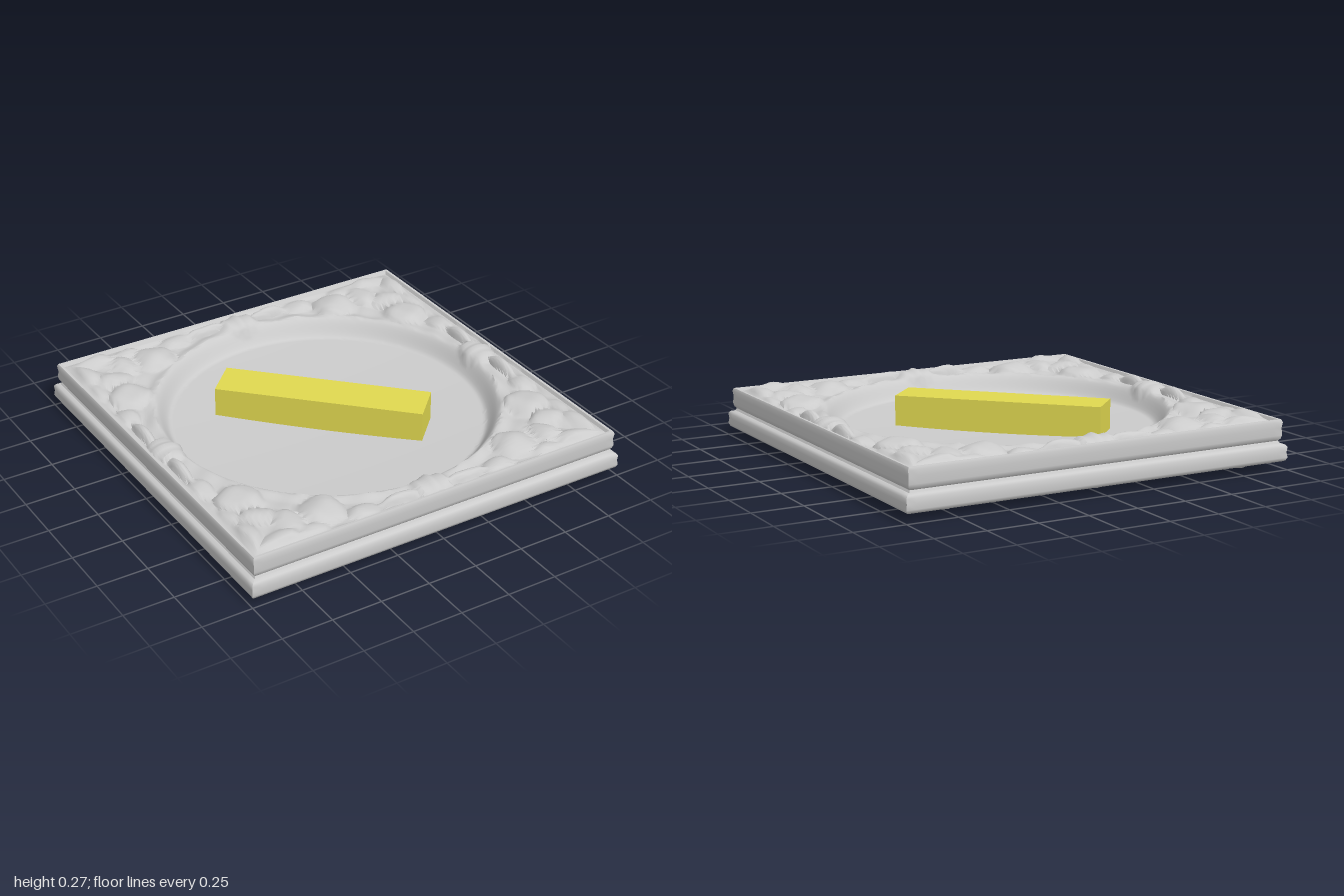
import * as THREE from 'three';
import { toCreasedNormals } from 'three/addons/utils/BufferGeometryUtils.js';

const SEGMENTS = 256;
const INNER = 0.955; // half-size of the carved field inside the lip
const GROUND = 0.215, LIP = 0.24;

// Carved bosses on one eighth of the frame: p = towards the edge, q = along it
const BOSSES = [
  { p: 0.8, q: 0.53, rp: 0.11, rq: 0.11, h: 0.045 },  // large bead
  { p: 0.9, q: 0.36, rp: 0.06, rq: 0.08, h: 0.025 },  // small bead
  { p: 0.8, q: 0.7, rp: 0.1, rq: 0.07, h: 0.045 },    // leaf bud
  { p: 0.9, q: 0.79, rp: 0.06, rq: 0.09, h: 0.05 },   // corner flower
  { p: 0.91, q: 0.64, rp: 0.05, rq: 0.08, h: 0.03 },
  { p: 0.905, q: 0.18, rp: 0.03, rq: 0.11, h: 0.045 }, // ribbon tail
];

const smooth = THREE.MathUtils.smoothstep;

function dome(p, q, b) {
  const d = ((p - b.p) / b.rp) ** 2 + ((q - b.q) / b.rq) ** 2;
  return d < 1 ? b.h * Math.sqrt(1 - d) : 0;
}

// Height of one carved face: dish, rim, foliage and mid-edge clasps
function faceHeight(x, z, floor, rim) {
  const p = Math.max(Math.abs(x), Math.abs(z)), q = Math.min(Math.abs(x), Math.abs(z));
  const r = Math.hypot(x, z);
  let y;
  if (r < rim) {
    const bowl = floor + 0.025 * (r / rim) ** 2;
    y = bowl + (GROUND + 0.01 - bowl) * smooth(r, rim - 0.08, rim);
  } else {
    let carve = 0;
    for (const b of BOSSES) carve = Math.max(carve, dome(p, q, b));
    // veined leaf fanning out from the corner
    const cx = INNER - p, cz = INNER - q, cr = Math.hypot(cx, cz);
    const vein = 0.5 + 0.5 * Math.cos(Math.atan2(cz, cx) * 12);
    const leaf = (0.018 + 0.02 * vein) * (1 - smooth(cr, 0.12, 0.4));
    const ripple = 0.006 * Math.sin(x * 31 + z * 9) * Math.sin(z * 27 - x * 7);
    const rimRoll = 0.012 * (1 - smooth(r, rim, rim + 0.06));
    y = GROUND + Math.max(carve, leaf) + ripple + rimRoll;
    y += (LIP - 0.015 - y) * smooth(p, INNER - 0.03, INNER);
  }
  // clasp spanning the rim in the middle of each side
  const clasp = { p: 0.885, q: 0, rp: 0.08, rq: 0.115, h: 0.05 };
  const c = dome(p, q, clasp);
  if (c > 0) y = Math.max(y, GROUND - 0.005 + c + 0.006 * Math.cos(q * 90));
  return Math.min(y, 0.272);
}

// One ring of points blending from a circle (t = 0) to a square (t = 1)
function ring(radius, half, t, height) {
  const points = [];
  for (let j = 0; j < SEGMENTS; j++) {
    const a = (j / SEGMENTS) * Math.PI * 2, c = Math.cos(a), s = Math.sin(a);
    const square = half / Math.max(Math.abs(c), Math.abs(s));
    const d = radius + (square - radius) * t;
    points.push([d * c, height(d * c, d * s), d * s]);
  }
  return points;
}

function faceRings(floor, rim, toY) {
  const height = (x, z) => toY(faceHeight(x, z, floor, rim));
  const rings = [];
  for (let i = 0; i <= 10; i++) rings.push(ring((rim - 0.1) * i / 10, 0, 0, height));
  for (let i = 1; i <= 10; i++) rings.push(ring(rim - 0.1 + 0.01 * i, 0, 0, height));
  for (let i = 1; i <= 30; i++) rings.push(ring(rim, INNER, i / 30, height));
  return rings;
}

function plaqueGeometry() {
  // moulded outer edge, from the upper lip to the lower lip
  const moulding = [
    [0.963, 0.24], [0.975, 0.241], [0.981, 0.228], [0.977, 0.2], [0.98, 0.165], [0.975, 0.148],
    [0.966, 0.138], [0.972, 0.127], [0.99, 0.122], [0.999, 0.11], [0.996, 0.085],
    [1, 0.06], [0.993, 0.045], [0.98, 0.039], [0.965, 0.04],
  ];
  const rings = [
    ...faceRings(0.115, 0.84, y => y),
    ...moulding.map(([half, y]) => ring(0, half, 1, () => y)),
    ...faceRings(0.2, 0.8, y => 0.28 - y).reverse(),
  ];
  const index = [];
  for (let i = 0; i < rings.length - 1; i++) {
    for (let j = 0; j < SEGMENTS; j++) {
      const k = (j + 1) % SEGMENTS;
      const a = i * SEGMENTS + j, b = i * SEGMENTS + k;
      const c = a + SEGMENTS, d = b + SEGMENTS;
      if (i > 0) index.push(a, b, c);
      if (i < rings.length - 2) index.push(b, d, c);
      else index.push(a, b, c);
      if (i === 0) continue;
    }
  }
  const geometry = new THREE.BufferGeometry();
  geometry.setAttribute('position', new THREE.Float32BufferAttribute(rings.flat(2), 3));
  geometry.setIndex(index);
  return toCreasedNormals(geometry, 0.8);
}

export function createModel() {
  const group = new THREE.Group();

  // square carved plaque, dished on both faces
  const plaque = new THREE.Mesh(plaqueGeometry(), new THREE.MeshStandardMaterial({ color: 0xcccccc }));
  plaque.name = 'carvedPlaque';
  group.add(plaque);

  // diagonal bar passing through the dish
  const bar = new THREE.Mesh(
    new THREE.BoxGeometry(1.025, 0.272, 0.212),
    new THREE.MeshStandardMaterial({ color: 0xe0d850 }),
  );
  bar.name = 'diagonalBar';
  bar.position.set(-0.018, 0.136, -0.018);
  bar.rotation.y = -Math.PI / 4;
  group.add(bar);

  return group;
}
